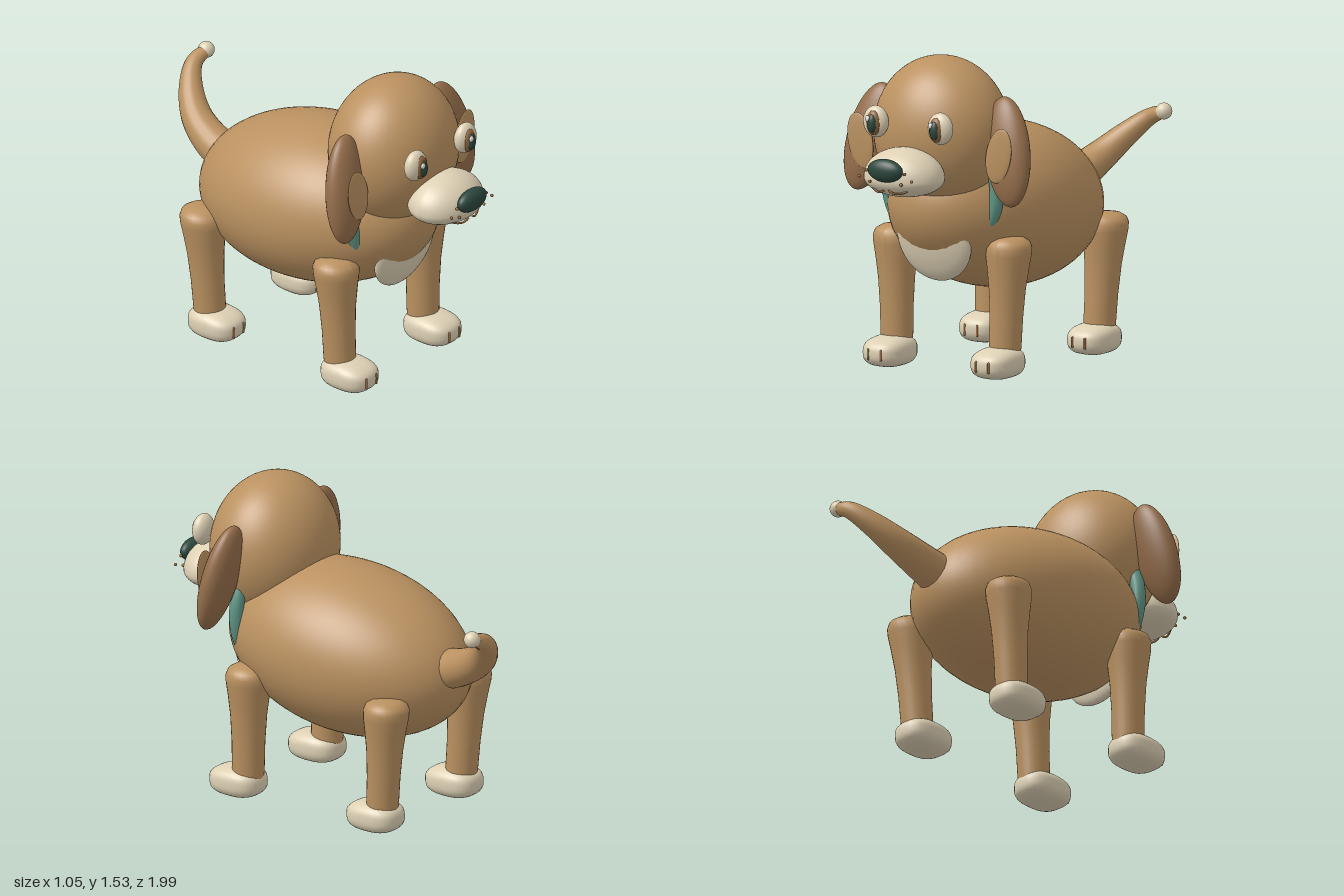
import * as THREE from 'three';

const mat = (name, color) => {
  const m = new THREE.MeshStandardMaterial({ color });
  m.name = name;
  return m;
};

export function createModel() {
  const root = new THREE.Group();
  root.name = 'puppy';
  const coat = mat('coat brown', 0xba9160);
  const earBrown = mat('ear brown', 0x946d4a);
  const cream = mat('cream', 0xddd0b4);
  const teal = mat('collar teal', 0x5f9585);
  const dark = mat('dark green', 0x2c473d);
  const irisBrown = mat('iris brown', 0x8c6239);
  const markBrown = mat('marking brown', 0x9c6a3e);
  const white = mat('highlight white', 0xf6f4ee);

  const add = (name, geometry, material, pos = [0, 0, 0], rot = [0, 0, 0]) => {
    const mesh = new THREE.Mesh(geometry, material);
    mesh.name = name;
    mesh.position.set(...pos);
    mesh.rotation.set(...rot);
    root.add(mesh);
    return mesh;
  };
  const ellipsoid = (rx, ry, rz, w = 32, h = 24) =>
    new THREE.SphereGeometry(1, w, h).scale(rx, ry, rz);

  // Moves every vertex by a rule, then refreshes the normals
  const reshape = (geometry, rule) => {
    const p = geometry.attributes.position;
    const v = new THREE.Vector3();
    for (let i = 0; i < p.count; i++) {
      v.fromBufferAttribute(p, i);
      rule(v);
      p.setXYZ(i, v.x, v.y, v.z);
    }
    geometry.computeVertexNormals();
    return geometry;
  };

  // Body, head, chest patch and collar
  add('body', ellipsoid(0.44, 0.403, 0.653, 48, 36), coat, [0, 0.757, 0.02], [-0.125, 0, 0]);
  add('head', ellipsoid(0.34, 0.363, 0.295, 48, 36), coat, [0, 1.168, 0.475]);
  add('chestPatch', ellipsoid(0.207, 0.21, 0.06), cream, [0, 0.655, 0.54], [0.2, 0, 0]);
  add('collar', new THREE.TorusGeometry(0.31, 0.035, 16, 64), teal, [0, 0.9, 0.47]);

  // Muzzle: rounder above, flatter below
  const muzzle = reshape(new THREE.SphereGeometry(1, 40, 30), (v) => {
    v.set(v.x * 0.205, v.y * (v.y > 0 ? 0.145 : 0.09), v.z * 0.165);
  });
  add('muzzle', muzzle, cream, [0, 0.988, 0.795]);
  add('nose', ellipsoid(0.097, 0.056, 0.042), dark, [0, 1.044, 0.957]);

  // Leg: turned profile that leans from the foot to the shoulder
  const legProfile = [
    [0.074, 0.08], [0.078, 0.15], [0.08, 0.28], [0.088, 0.42], [0.1, 0.52], [0.11, 0.59],
    [0.111, 0.625], [0.1, 0.652], [0.07, 0.67], [0.03, 0.676], [0, 0.677],
  ].map(([r, y]) => new THREE.Vector2(r, y));
  const legGeometry = (leanX, leanZ) =>
    reshape(new THREE.LatheGeometry(legProfile, 28), (v) => {
      const t = Math.max(0, (v.y - 0.1) / 0.53);
      v.x += leanX * t;
      v.z += leanZ * t;
    });

  // Paw: boxy rounded form, lower towards the toes
  const pawGeometry = reshape(new THREE.SphereGeometry(1, 32, 24), (v) => {
    const n = 2.8;
    const k = Math.abs(v.x) ** n + Math.abs(v.y) ** n + Math.abs(v.z) ** n;
    v.multiplyScalar(k ** (-1 / n));
    if (v.y > 0) v.y *= 1 - 0.15 * Math.max(0, v.z);
    v.set(v.x * 0.108, v.y * 0.074, v.z * 0.138);
  });

  const toeLine = new THREE.CapsuleGeometry(0.006, 0.045, 4, 8);
  const freckle = new THREE.SphereGeometry(0.008, 10, 8);

  for (const s of [-1, 1]) {
    const side = s > 0 ? 'left' : 'right';

    // Legs and paws
    for (const [end, legZ, leanZ, pawZ] of [
      ['Front', 0.4, -0.015, 0.458],
      ['Rear', -0.4, -0.035, -0.36],
    ]) {
      add(`${side}${end}Leg`, legGeometry(s * 0.014, leanZ), coat, [s * 0.309, 0, legZ]);
      add(`${side}${end}Paw`, pawGeometry, cream, [s * 0.309, 0.076, pawZ]);
      for (const dx of [-0.036, 0.036]) {
        add(`${side}${end}ToeLine`, toeLine, markBrown, [s * 0.309 + dx, 0.071, pawZ + 0.134]);
      }
    }

    // Ears with lighter inner patch
    add(`${side}Ear`, ellipsoid(0.12, 0.265, 0.07), earBrown,
      [s * 0.395, 1.107, 0.502], [-0.177, 0, s * 0.21]);
    add(`${side}InnerEar`, ellipsoid(0.071, 0.135, 0.012), coat,
      [s * 0.396, 1.098, 0.582], [0, 0, s * -0.2]);

    // Eyes
    add(`${side}Eye`, ellipsoid(0.067, 0.077, 0.044), cream, [s * 0.185, 1.236, 0.762]);
    add(`${side}Iris`, ellipsoid(0.039, 0.06, 0.028), irisBrown, [s * 0.18, 1.233, 0.788]);
    add(`${side}Pupil`, ellipsoid(0.025, 0.045, 0.022), dark, [s * 0.179, 1.231, 0.803]);
    add(`${side}EyeHighlight`, ellipsoid(0.013, 0.015, 0.008, 14, 10), white,
      [s * 0.18 - 0.016, 1.255, 0.817]);

    // Freckles and mouth line
    for (const [x, y] of [[0.15, 1.004], [0.09, 0.983], [0.108, 1.036]]) {
      add(`${side}Freckle`, freckle, markBrown, [s * x, y, 0.955]);
    }
    const lip = new THREE.QuadraticBezierCurve3(
      new THREE.Vector3(s * 0.1, 0.948, 0.912),
      new THREE.Vector3(s * 0.05, 0.918, 0.942),
      new THREE.Vector3(s * 0.012, 0.948, 0.946));
    add(`${side}Mouth`, new THREE.TubeGeometry(lip, 16, 0.005, 8), markBrown);
  }

  // Tail: tube whose rings shrink towards the tip
  const tailCurve = new THREE.CatmullRomCurve3([
    [0.015, 0.755, -0.5], [0.025, 0.8, -0.65], [0.065, 0.875, -0.79],
    [0.14, 0.97, -0.89], [0.23, 1.05, -0.945], [0.312, 1.085, -0.94],
  ].map((p) => new THREE.Vector3(...p)));
  const segments = 40, radial = 20;
  const tail = new THREE.TubeGeometry(tailCurve, segments, 1, radial);
  const tp = tail.attributes.position;
  for (let i = 0; i <= segments; i++) {
    const t = i / segments;
    const c = tailCurve.getPointAt(t);
    const r = 0.102 - 0.072 * t ** 1.3;
    for (let j = 0; j <= radial; j++) {
      const q = new THREE.Vector3().fromBufferAttribute(tp, i * (radial + 1) + j);
      q.sub(c).multiplyScalar(r).add(c);
      tp.setXYZ(i * (radial + 1) + j, q.x, q.y, q.z);
    }
  }
  add('tail', tail, coat);
  add('tailTip', new THREE.SphereGeometry(0.04, 24, 16), cream, [0.315, 1.086, -0.94]);

  return root;
}
